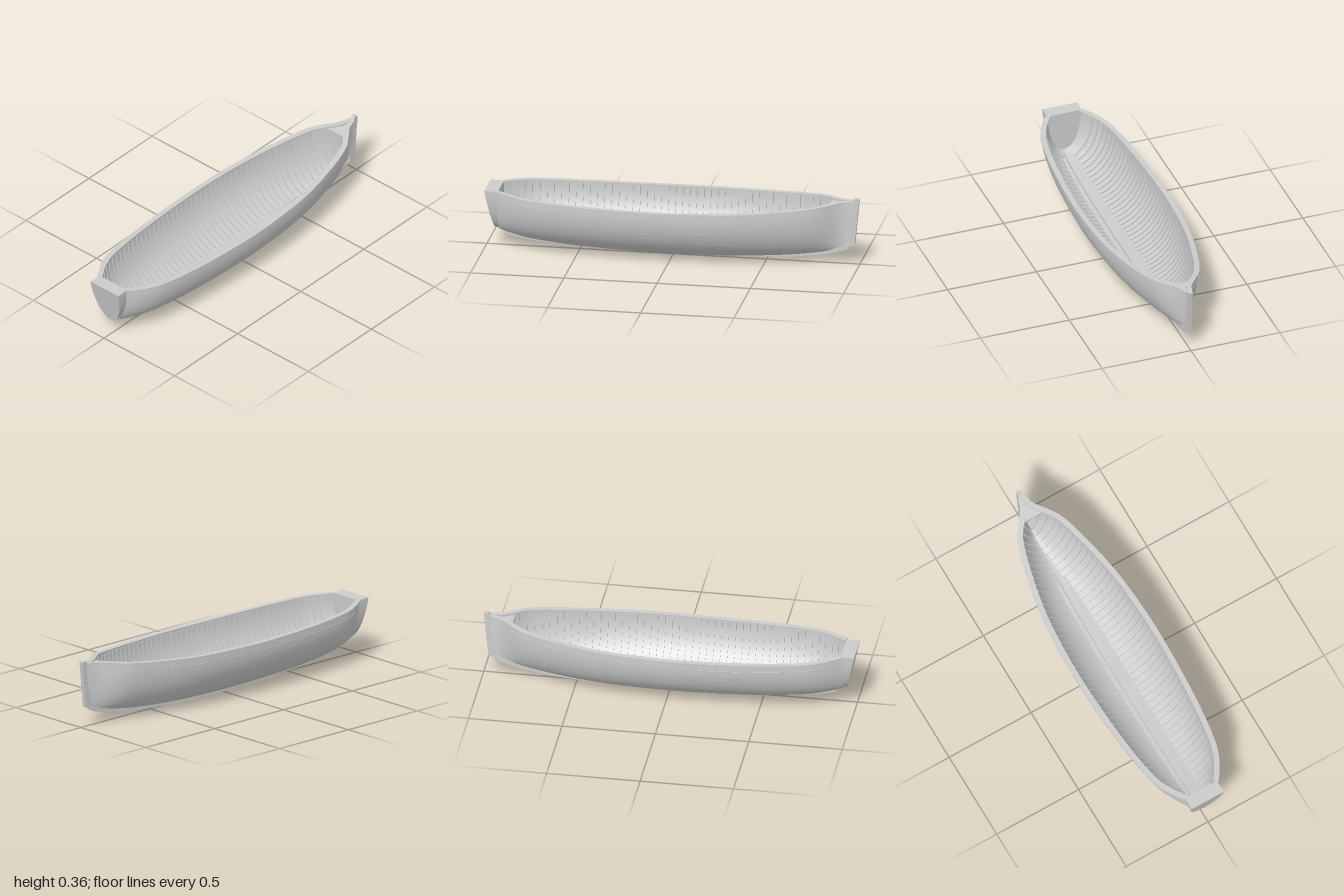
import * as THREE from 'three';
import { toCreasedNormals } from 'three/addons/utils/BufferGeometryUtils.js';

const wood = new THREE.MeshStandardMaterial({ color: 0xcccccc, side: THREE.DoubleSide });
wood.name = 'pale grey wood';

// Hull stations: x, half breadth, sheer height, bottom height
const stations = [
  [-0.93, 0.097, 0.320, 0.094], [-0.85, 0.148, 0.316, 0.072], [-0.75, 0.189, 0.311, 0.054],
  [-0.5, 0.226, 0.303, 0.032], [-0.12, 0.248, 0.298, 0.02], [0.15, 0.243, 0.301, 0.02],
  [0.38, 0.221, 0.306, 0.026], [0.62, 0.171, 0.320, 0.04], [0.77, 0.124, 0.332, 0.059],
  [0.83, 0.085, 0.338, 0.07], [0.9, 0.032, 0.343, 0.09], [0.965, 0.011, 0.346, 0.113],
];

// Smooth interpolation of one station column
function at(x, col) {
  const n = stations.length;
  let i = 0;
  while (i < n - 2 && x > stations[i + 1][0]) i++;
  const slope = k => {
    const a = stations[Math.max(k - 1, 0)], b = stations[Math.min(k + 1, n - 1)];
    return (b[col] - a[col]) / (b[0] - a[0]);
  };
  const a = stations[i], b = stations[i + 1], d = b[0] - a[0], t = (x - a[0]) / d;
  const t2 = t * t, t3 = t2 * t;
  return (2 * t3 - 3 * t2 + 1) * a[col] + (t3 - 2 * t2 + t) * d * slope(i)
    + (3 * t2 - 2 * t3) * b[col] + (t3 - t2) * d * slope(i + 1);
}

// Point on a cross-section: s = 0 at the sheer, 1 at the keel; off moves it outward
function section(x, s, off = 0) {
  const w = at(x, 1), top = at(x, 2), h = top - at(x, 3);
  const sharp = 1 + 0.3 * THREE.MathUtils.smoothstep(x, 0.4, 0.95);
  const point = u => {
    const a = u * Math.PI / 2;
    return [top - h * Math.sin(a), w * Math.pow(Math.max(Math.cos(a), 0), sharp)];
  };
  const [y, z] = point(s);
  const p = point(Math.max(s - 0.01, 0)), q = point(Math.min(s + 0.01, 1));
  const dy = q[0] - p[0], dz = q[1] - p[1], l = Math.hypot(dy, dz) || 1;
  return [x, y + off * dz / l, Math.max(z - off * dy / l, 0)];
}

const range = (a, b, n) => Array.from({ length: n + 1 }, (_, i) => a + (b - a) * i / n);
const mirrorZ = ([x, y, z]) => [x, y, -z];

// Skin a list of equally long rows of points; optionally close rows and cap the ends
function skin(rows, closed = false) {
  const m = rows[0].length, index = [];
  for (let i = 0; i < rows.length - 1; i++) {
    for (let j = 0; j < (closed ? m : m - 1); j++) {
      const a = i * m + j, b = i * m + (j + 1) % m;
      index.push(a, b, a + m, b, b + m, a + m);
    }
  }
  if (closed) {
    const e = (rows.length - 1) * m;
    for (let j = 1; j < m - 1; j++) index.push(0, j + 1, j, e, e + j, e + j + 1);
  }
  const g = new THREE.BufferGeometry();
  g.setAttribute('position', new THREE.Float32BufferAttribute(rows.flat(2), 3));
  g.setIndex(index);
  g.computeVertexNormals();
  return toCreasedNormals(g, 0.6);
}

// Long timber with a rectangular section given by f(x) = [y0, y1, z0, z1]
function timber(x0, x1, n, f) {
  return skin(range(x0, x1, n).map(x => {
    const [y0, y1, z0, z1] = f(x);
    return [[x, y0, z0], [x, y0, z1], [x, y1, z1], [x, y1, z0]];
  }), true);
}

export function createModel() {
  const boat = new THREE.Group();
  boat.name = 'rowingBoat';
  const add = (name, geometry, parent = boat) => {
    const mesh = new THREE.Mesh(geometry, wood);
    mesh.name = name;
    parent.add(mesh);
    return mesh;
  };
  const xs = range(-0.93, 0.965, 72);

  for (const side of [1, -1]) {
    const name = side > 0 ? 'front' : 'back';
    const flip = p => (side > 0 ? p : mirrorZ(p));

    // Overlapping planks outside, smooth lining inside
    const strakes = 11;
    add(name + 'Planking', skin(xs.map(x => {
      const row = [];
      for (let k = 0; k < strakes; k++) {
        row.push(flip(section(x, k / strakes, 0)), flip(section(x, (k + 0.5) / strakes, 0.0014)),
          flip(section(x, (k + 1) / strakes, k < strakes - 1 ? 0.0028 : 0)));
      }
      return row;
    })));
    add(name + 'Lining', skin(xs.map(x => range(0, 1, 24).map(s => flip(section(x, s, -0.007))))));

    // Gunwale, offset square to the plan curve
    const edge = (x, off, y) => {
      const d = (at(Math.min(x + 0.005, 0.965), 1) - at(Math.max(x - 0.005, -0.93), 1)) / 0.01;
      const l = Math.hypot(1, d);
      return flip([x - off * d / l, at(x, 2) + y, Math.max(at(x, 1) + off / l, 0.001)]);
    };
    add(name + 'Gunwale', skin(xs.map(x => [
      edge(x, 0.009, -0.004), edge(x, 0.009, 0.006), edge(x, -0.02, 0.006), edge(x, -0.02, -0.004),
    ]), true));

    // Bent ribs
    const ribs = new THREE.Group();
    ribs.name = name + 'Ribs';
    boat.add(ribs);
    for (const x of range(-0.87, 0.87, 46)) {
      add('rib', skin(range(0.02, 1, 16).map(s => {
        const corner = (dx, off) => flip(section(x + dx, s, off));
        return [corner(-0.011, -0.006), corner(0.011, -0.006), corner(0.011, -0.014), corner(-0.011, -0.014)];
      }), true), ribs);
    }

    // Floor board beside the keelson
    add(name + 'FloorBoard', timber(-0.85, 0.55, 28, x => {
      const y = at(x, 3) + 0.02;
      const outer = 0.026 + 0.024 * Math.sqrt(Math.max(1 - ((x + 0.2) / 0.76) ** 2, 0));
      return [y - 0.006, y + 0.004, side * 0.022, side * outer];
    }));
  }

  // Rubbing strip on the back side only
  add('rubbingStrip', skin(range(-0.85, 0.86, 60).map(x => {
    const s = 0.085;
    return [[s, 0], [s, 0.005], [s + 0.018, 0.005], [s + 0.018, 0]].map(([u, off]) => mirrorZ(section(x, u, off)));
  }), true));

  // Keelson along the inside
  add('keelson', timber(-0.87, 0.7, 32, x => {
    const y = at(x, 3) + 0.02, half = 0.02 * Math.min(1, 0.4 + (0.7 - x) * 1.2);
    return [y - 0.012, y + 0.011, -half, half];
  }));

  // Slightly bowed outer keel
  add('keel', timber(-0.89, 0.94, 48, x => {
    const y = at(x, 3), z = -0.024 * Math.cos(x / 0.94 * Math.PI / 2);
    return [y - 0.017, y + 0.006, z - 0.012, z + 0.012];
  }));

  // Raked transom: outer face leans aft, inner face is upright
  const half = range(0, 1, 16).map(s => section(-0.93, s));
  const outline = [...half, ...half.slice(0, -1).reverse().map(mirrorZ)];
  const raked = outline.map(([x, y, z]) => [-0.951 - 0.047 * (y - 0.094) / 0.226, y + 0.006, z * 1.02]);
  const inner = outline.map(([x, y, z]) => [-0.925, y + 0.004, z]);
  add('transom', skin([raked, inner], true));

  // Stem post
  const profile = new THREE.Shape([
    [0.935, 0.094], [0.974, 0.11], [0.998, 0.362], [0.976, 0.366], [0.95, 0.335],
  ].map(([x, y]) => new THREE.Vector2(x, y)));
  const stem = new THREE.ExtrudeGeometry(profile, { depth: 0.024, bevelEnabled: false });
  stem.translate(0, 0, -0.012);
  add('stem', stem);

  // Small knee joining the two sides at the bow
  add('breasthook', timber(0.84, 0.95, 8, x => {
    const w = Math.max(at(x, 1) - 0.006, 0.004), y = at(x, 2);
    return [y - 0.025, y - 0.008, -w, w];
  }));

  return boat;
}
